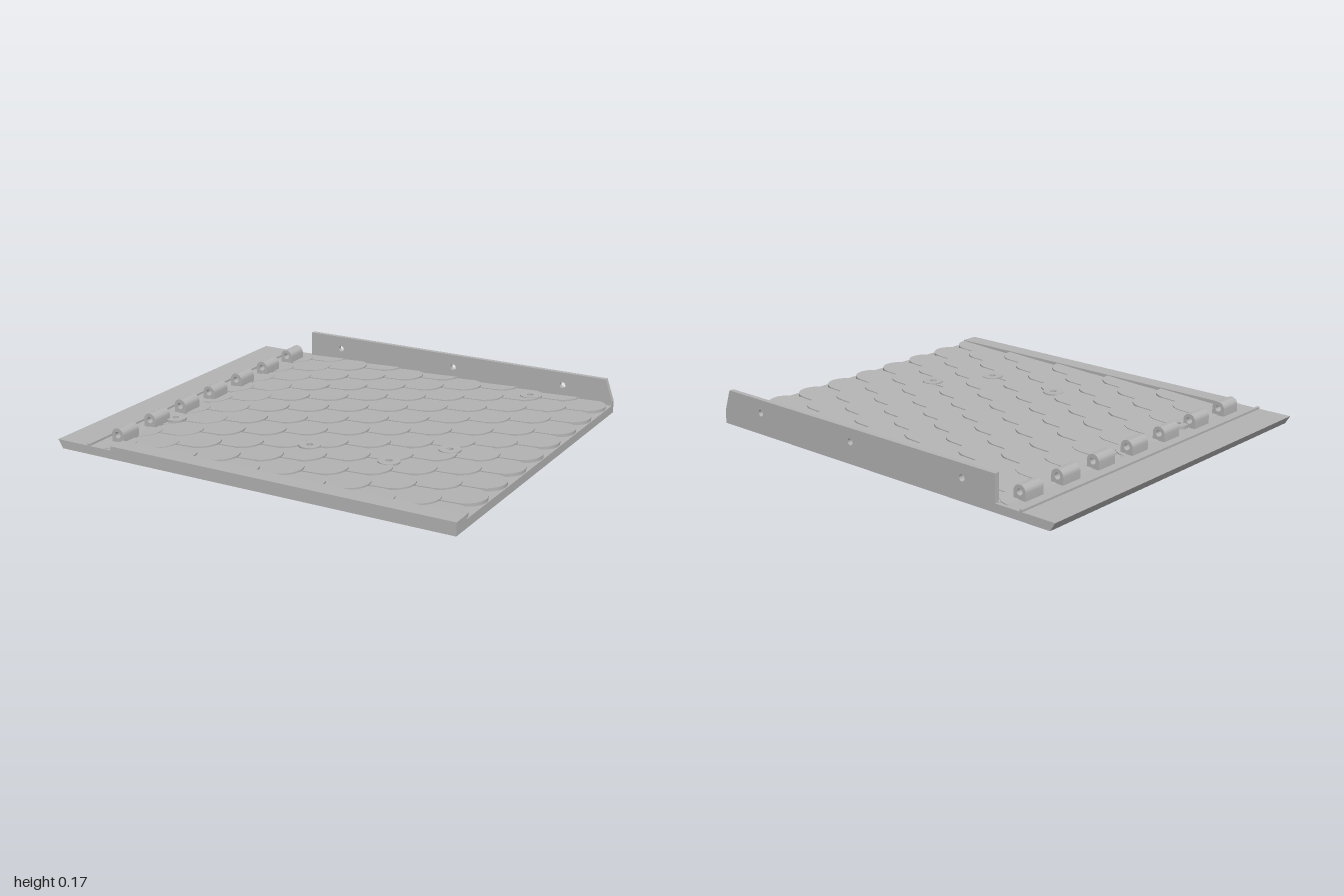
import * as THREE from 'three';
import { toCreasedNormals } from 'three/addons/utils/BufferGeometryUtils.js';

const HALF_Z = 0.8625, DECK = 0.04, HOLE_R = 0.016;
// Screw holes through the deck, as [x, z]
const SCREWS = [[-0.69, 0.39], [0.045, 0.39], [0.445, 0.39], [0.61, 0.13], [0.61, -0.755]];

function hole(x, y, r) {
  return new THREE.Path().absarc(x, y, r, 0, Math.PI * 2, true);
}

// Extrude a plan drawn in (x, -z) upward from y0 to y1
function slab(shape, y0, y1) {
  const g = new THREE.ExtrudeGeometry(shape, { depth: y1 - y0, bevelEnabled: false, curveSegments: 16 });
  return g.rotateX(-Math.PI / 2).translate(0, y0, 0);
}

// One shingle: straight sides, round tip toward +x, sloping down to its root
function scaleGeometry(tip, cz, top, halfOnly) {
  const w = 0.09, back = Math.max(tip - 0.34, -0.7), clear = 0.02;
  const arcX = tip - w, side = [];
  const n = Math.max(2, Math.round((arcX - back) / 0.008));
  for (let i = 0; i < n; i++) side.push([back + (arcX - back) * i / n, w]);
  for (let i = 0; i <= 16; i++) {
    const a = Math.PI / 2 * (1 - i / 16);
    side.push([arcX + w * Math.cos(a), w * Math.sin(a)]);
  }
  const outline = side.map(([x, d]) => [x, cz + d]);
  if (halfOnly) outline.push([back, cz]);
  else for (const [x, d] of side.slice(0, -1).reverse()) outline.push([x, cz - d]);

  // Keep the screw holes open: notch the edge or cut a hole
  const cuts = [];
  for (const [hx, hz] of SCREWS) {
    let notched = false;
    for (const p of outline) {
      const dx = p[0] - hx;
      if (Math.hypot(dx, p[1] - hz) < clear) {
        p[1] = hz + Math.sign(cz - hz) * Math.sqrt(clear * clear - dx * dx);
        notched = true;
      }
    }
    if (!notched && !halfOnly && hx > back && hx < tip && Math.abs(hz - cz) < w) cuts.push(hole(hx, -hz, clear));
  }
  const shape = new THREE.Shape(outline.map(([x, z]) => new THREE.Vector2(x, -z)));
  shape.holes.push(...cuts);
  const g = slab(shape, top - 0.03, top);
  const pos = g.attributes.position;
  for (let i = 0; i < pos.count; i++) pos.setY(i, pos.getY(i) + 0.045 * (pos.getX(i) - tip));
  return toCreasedNormals(g, 0.5);
}

export function createModel() {
  const model = new THREE.Group();
  const grey = new THREE.MeshStandardMaterial({ color: 0xb4b4b4 });
  grey.name = 'plain grey';
  const add = (name, geometry, parent = model) => {
    const mesh = new THREE.Mesh(geometry, grey);
    mesh.name = name;
    parent.add(mesh);
    return mesh;
  };
  const group = (name) => {
    const g = new THREE.Group();
    g.name = name;
    model.add(g);
    return g;
  };

  // Deck plate with screw holes and an undercut left edge
  const plan = new THREE.Shape([[-1, -HALF_Z], [1, -HALF_Z], [1, HALF_Z], [-1, HALF_Z]]
    .map(([x, y]) => new THREE.Vector2(x, y)));
  for (const [x, z] of SCREWS) plan.holes.push(hole(x, -z, HOLE_R));
  const deck = slab(plan, 0, DECK);
  const pos = deck.attributes.position;
  for (let i = 0; i < pos.count; i++) {
    if (pos.getX(i) < -0.99 && pos.getY(i) < 0.01) pos.setX(i, -0.975);
  }
  add('deckPlate', toCreasedNormals(deck, 0.5));

  // Front rail and the thin ridge along the left
  add('frontRail', new THREE.BoxGeometry(1.7, 0.06 - DECK, 0.0875).translate(0.15, 0.05, HALF_Z - 0.04375));
  add('leftRidge', new THREE.BoxGeometry(0.015, 0.01, HALF_Z * 2).translate(-0.825, DECK + 0.005, 0));

  // Upright back wall with a sloped end and three holes
  const wall = new THREE.Shape([[-0.69, DECK], [1, DECK], [1, 0.06], [0.963, 0.167], [-0.69, 0.167]]
    .map(([x, y]) => new THREE.Vector2(x, y)));
  for (const x of [-0.51, 0.148, 0.743]) wall.holes.push(hole(x, 0.103, 0.015));
  const wallGeometry = new THREE.ExtrudeGeometry(wall, { depth: 0.024, bevelEnabled: false, curveSegments: 16 });
  add('backWall', toCreasedNormals(wallGeometry.translate(0, 0, -HALF_Z), 0.3));

  // Hinge knuckles
  const knuckle = new THREE.Shape();
  knuckle.moveTo(-0.032, 0);
  knuckle.lineTo(0.032, 0);
  knuckle.lineTo(0.032, 0.034);
  knuckle.absarc(0, 0.034, 0.032, 0, Math.PI, false);
  knuckle.closePath();
  knuckle.holes.push(hole(0, 0.034, 0.015));
  const knuckleGeometry = toCreasedNormals(
    new THREE.ExtrudeGeometry(knuckle, { depth: 0.112, bevelEnabled: false, curveSegments: 16 }), 0.5);
  const knuckles = group('hingeKnuckles');
  for (let i = 0; i < 7; i++) {
    add('hingeKnuckle', knuckleGeometry, knuckles).position.set(-0.739, DECK, -0.77 + i * 0.2365);
  }

  // Overlapping scales in staggered columns
  const scales = group('scales');
  for (let k = 0; k < 11; k++) {
    const tip = -0.65 + k * 0.1645;
    const top = [0.047, 0.052][k] ?? 0.056;
    const odd = k % 2 === 1;
    if (odd) add('halfScale', scaleGeometry(tip, -0.85, top, true), scales);
    for (let j = 0; j < (odd ? 8 : 9); j++) {
      add('scale', scaleGeometry(tip, -0.755 + (j + (odd ? 0.5 : 0)) * 0.19, top, false), scales);
    }
  }

  // Raised rings around the screw holes
  const ring = new THREE.Shape().absarc(0, 0, 0.05, 0, Math.PI * 2, false);
  ring.holes.push(hole(0, 0, HOLE_R));
  const ringGeometry = toCreasedNormals(slab(ring, DECK, 0.057), 0.5);
  const bosses = group('screwBosses');
  for (const [x, z] of SCREWS) add('screwBoss', ringGeometry, bosses).position.set(x, 0, z);

  return model;
}
